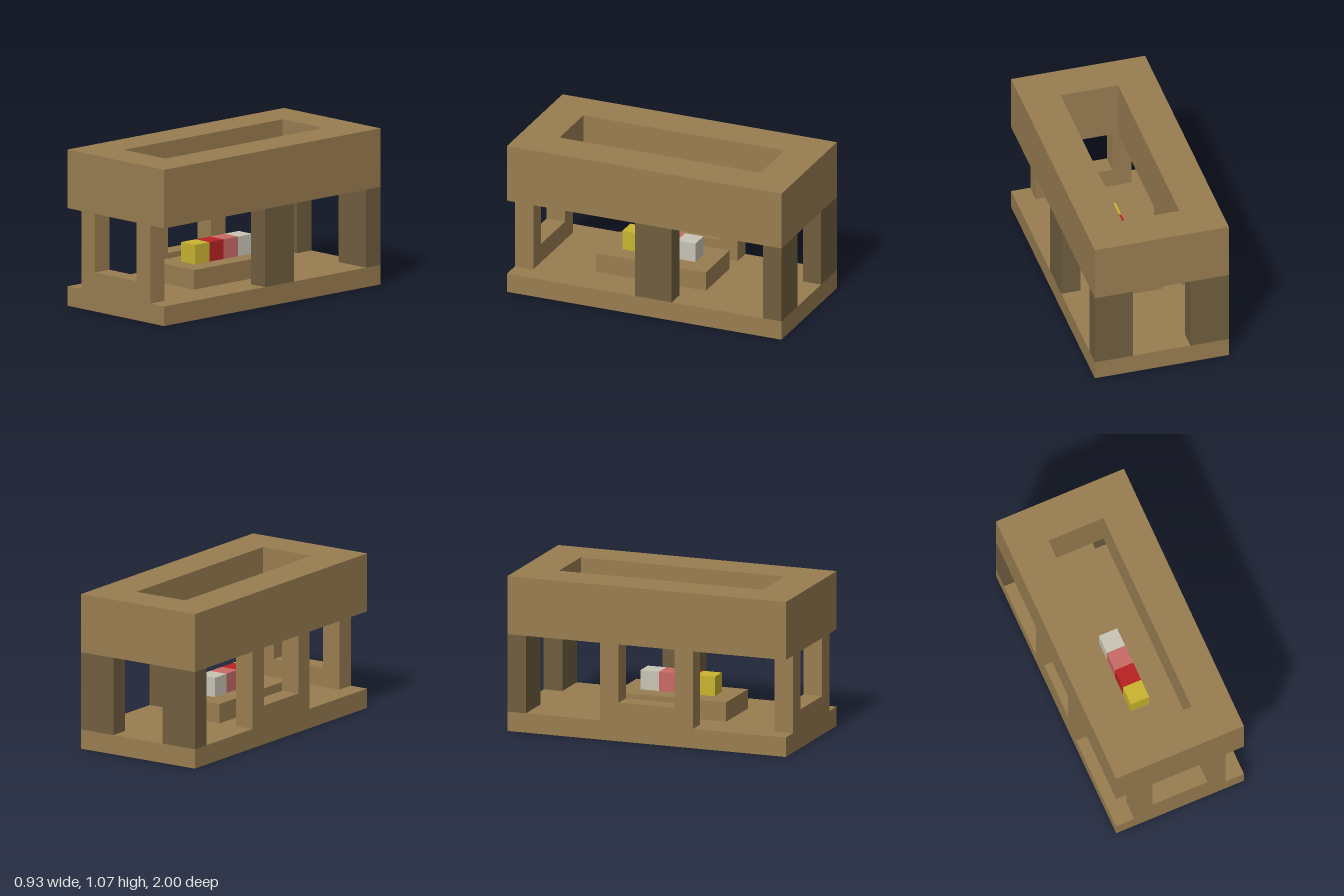
import * as THREE from 'three';

const U = 2 / 15; // one block

export function createModel() {
  const mat = (name, color) => {
    const m = new THREE.MeshStandardMaterial({ color });
    m.name = name;
    return m;
  };
  const wood = mat('wood', 0x997d51);
  const darkWood = mat('dark wood', 0x705e3f);
  const yellow = mat('yellow', 0xc8b42f);
  const red = mat('red', 0xb82123);
  const pink = mat('pink', 0xc86b66);
  const pale = mat('pale grey', 0xc8c4b5);

  const model = new THREE.Group();
  model.name = 'blockFrame';

  // box between two corners, in blocks; x and z are measured from the centre
  const box = (name, material, x0, x1, y0, y1, z0, z1) => {
    const g = new THREE.BoxGeometry((x1 - x0) * U, (y1 - y0) * U, (z1 - z0) * U);
    g.translate((x0 + x1) / 2 * U, (y0 + y1) / 2 * U, (z0 + z1) / 2 * U);
    const mesh = new THREE.Mesh(g, material);
    mesh.name = name;
    model.add(mesh);
  };

  // floor slab
  box('base', wood, -3.5, 3.5, 0, 1, -7.5, 7.5);

  // thick roof with a long opening
  const rect = (shape, x, z) => shape.moveTo(-x, -z).lineTo(x, -z).lineTo(x, z).lineTo(-x, z).closePath();
  const outline = rect(new THREE.Shape(), 3.5 * U, 7.5 * U);
  outline.holes.push(rect(new THREE.Path(), 1.5 * U, 5.5 * U));
  const roofGeometry = new THREE.ExtrudeGeometry(outline, { depth: 3 * U, bevelEnabled: false });
  roofGeometry.rotateX(-Math.PI / 2).translate(0, 5 * U, 0);
  const roof = new THREE.Mesh(roofGeometry, wood);
  roof.name = 'roof';
  model.add(roof);

  // front and back posts, mirrored
  for (const s of [-1, 1]) {
    const side = s > 0 ? 'left' : 'right';
    box(side + 'FrontPost', wood, s * 2 - 0.5, s * 2 + 0.5, 1, 5, 6.5, 7.5);
    box(side + 'BackPost', darkWood, s * 2.5 - 1, s * 2.5 + 1, 1, 5, -7.5, -6.5);
  }
  box('frontSill', wood, -1.5, 1.5, 1, 2, 6.5, 7.5);

  // window on the right side
  box('rightWindowPostBack', wood, -3.5, -2.5, 1, 5, -2.5, -1.5);
  box('rightWindowPostFront', wood, -3.5, -2.5, 1, 5, 1.5, 2.5);
  box('rightWindowSill', wood, -3.5, -2.5, 1, 2, -1.5, 1.5);

  // single wide post on the left side
  box('leftMiddlePost', darkWood, 2.5, 3.5, 1, 5, -1.5, 0.5);

  // low table with a row of coloured blocks
  box('table', wood, -1.5, 1.5, 1, 2, -2.5, 3.5);
  [pale, pink, red, yellow].forEach((m, i) =>
    box(m.name + ' block', m, -0.5, 0.5, 2, 3, i - 1.5, i - 0.5));

  return model;
}
